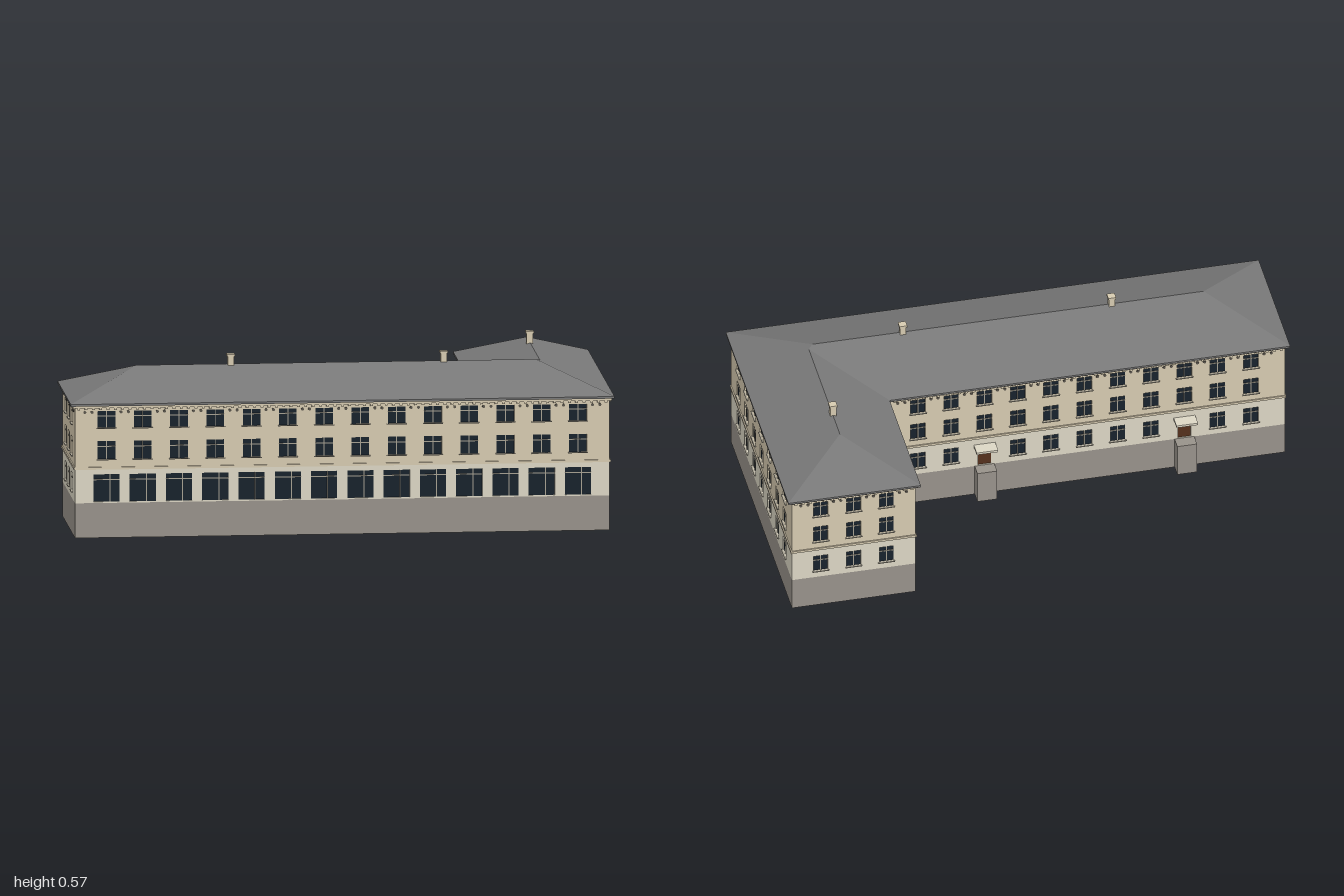
import * as THREE from 'three';
import { mergeGeometries } from 'three/addons/utils/BufferGeometryUtils.js';

const mat = (color) => new THREE.MeshStandardMaterial({ color, side: THREE.DoubleSide });
const STONE = mat(0x98928a), GROUND = mat(0xdcd6c4), PLASTER = mat(0xd6cab0);
const GLASS = mat(0x18222c), FRAME = mat(0xa8a293), ROOF = mat(0x787878), DOOR = mat(0x54301c), VENT = mat(0x5a554c);

const THICK = 0.008;             // wall thickness
const BASE = 0.115, BAND = 0.23, TOP = 0.438;
const RISE = 0.371, EAVE = 0.445; // roof pitch and eave height

const box = (w, h, d, x, y, z) => new THREE.BoxGeometry(w, h, d).translate(x, y, z);

function add(parent, name, geometry, material) {
  const mesh = new THREE.Mesh(Array.isArray(geometry) ? mergeGeometries(geometry) : geometry, material);
  mesh.name = name;
  parent.add(mesh);
  return mesh;
}

// Wall strip with rectangular openings; outer face on z = 0
function panel(length, y0, y1, openings) {
  const h = length / 2;
  const shape = new THREE.Shape([[-h, y0], [h, y0], [h, y1], [-h, y1]].map((p) => new THREE.Vector2(...p)));
  for (const o of openings) {
    const l = o.x - o.w / 2, r = o.x + o.w / 2;
    shape.holes.push(new THREE.Path([[l, o.y0], [l, o.y1], [r, o.y1], [r, o.y0]].map((p) => new THREE.Vector2(...p))));
  }
  return new THREE.ExtrudeGeometry(shape, { depth: THICK, bevelEnabled: false }).translate(0, 0, -THICK);
}

// One complete facade: plinth, two plaster zones, windows, mouldings, vents
function facade(name, { length, count, step, width, shop = false, doors = [] }) {
  const g = new THREE.Group();
  g.name = name;
  const columns = Array.from({ length: count }, (_, i) => (i - (count - 1) / 2) * step);
  const ground = [], upper = [];
  columns.forEach((x, i) => {
    if (doors.includes(i)) ground.push({ x, w: 0.044, y0: BASE + 0.002, y1: 0.19, door: true });
    else if (shop) ground.push({ x, w: 0.086, y0: 0.119, y1: 0.21, shop: true });
    else ground.push({ x, w: width, y0: 0.14, y1: 0.2 });
    upper.push({ x, w: width, y0: 0.26, y1: 0.32 }, { x, w: width, y0: 0.364, y1: 0.419 });
  });
  add(g, 'plinth', box(length, BASE, THICK, 0, BASE / 2, -THICK / 2), STONE);
  add(g, 'groundFloorWall', panel(length, BASE, BAND, ground), GROUND);
  add(g, 'upperWall', panel(length, BAND, TOP, upper), PLASTER);

  const glass = [], frames = [], leaves = [];
  for (const o of [...ground, ...upper]) {
    const h = o.y1 - o.y0, y = (o.y0 + o.y1) / 2;
    (o.door ? leaves : glass).push(box(o.w, h, 0.003, o.x, y, -0.0055));
    if (o.door) continue;
    frames.push(box(0.003, h, 0.003, o.x + (o.shop ? 0.012 : 0), y, -0.003));
    frames.push(box(o.w, 0.003, 0.003, o.x, o.y1 - h * (o.shop ? 0.2 : 0.3), -0.003));
    if (!o.shop) frames.push(box(o.w + 0.008, 0.003, 0.006, o.x, o.y0 - 0.0015, 0.002));
  }
  add(g, 'windowPanes', glass, GLASS);
  add(g, 'windowFrames', frames, FRAME);
  if (leaves.length) add(g, 'doorLeaves', leaves, DOOR);

  // String course, cornice and dentils
  const trim = [box(length + 0.008, 0.008, 0.008, 0, BAND, 0), box(length + 0.014, 0.008, 0.014, 0, 0.434, 0)];
  const dentils = Math.round(length / 0.024);
  for (let i = 0; i < dentils; i++) {
    trim.push(box(0.009, 0.006, 0.006, ((i + 0.5) / dentils - 0.5) * length, 0.427, 0.003));
  }
  add(g, 'mouldings', trim, PLASTER);

  // Round attic vents in pairs between the windows
  const vents = [];
  for (let i = 0; i <= count; i++) {
    for (const side of [-1, 1]) {
      const x = (i - count / 2) * step + side * 0.012;
      vents.push(new THREE.CylinderGeometry(0.005, 0.005, 0.003, 10).rotateX(Math.PI / 2).translate(x, 0.416, 0.001));
    }
  }
  add(g, 'atticVents', vents, VENT);

  // Entrance porches: raised step block and canopy
  for (const i of doors) {
    const x = columns[i];
    add(g, 'entranceBlock', box(0.066, BASE, 0.042, x, BASE / 2, 0.021), STONE);
    add(g, 'entranceCanopy', [box(0.072, 0.008, 0.044, x, 0.198, 0.022), box(0.064, 0.006, 0.036, x, 0.191, 0.018)], GROUND);
  }
  return g;
}

// Hipped roof over the L-shaped plan
function roof() {
  const g = new THREE.Group();
  g.name = 'roof';
  // x, z, distance in from the eave
  const P = {
    A: [0.781, -0.629, 0], B: [0.781, 0.313, 0], C: [-1.003, 0.313, 0],
    D: [-1.003, -0.161, 0], E: [0.338, -0.161, 0], F: [0.338, -0.629, 0],
    mainEnd: [-0.766, 0.076, 0.237], mainCorner: [0.544, 0.076, 0.237],
    wingCorner: [0.5595, 0.0605, 0.2215], wingEnd: [0.5595, -0.4075, 0.2215],
  };
  const slopes = [
    ['C', 'B', 'mainCorner', 'mainEnd'], ['B', 'A', 'wingEnd', 'wingCorner', 'mainCorner'],
    ['A', 'F', 'wingEnd'], ['F', 'E', 'wingCorner', 'wingEnd'],
    ['E', 'D', 'mainEnd', 'mainCorner', 'wingCorner'], ['D', 'C', 'mainEnd'],
  ];
  const verts = [];
  for (const face of slopes) {
    for (let i = 1; i < face.length - 1; i++) {
      for (const k of [face[0], face[i], face[i + 1]]) {
        const [x, z, d] = P[k];
        verts.push(x, EAVE + d * RISE, z);
      }
    }
  }
  const geo = new THREE.BufferGeometry();
  geo.setAttribute('position', new THREE.Float32BufferAttribute(verts, 3));
  geo.computeVertexNormals();
  add(g, 'roofSlopes', geo, ROOF);

  // Thin eave slab
  const outline = new THREE.Shape(['A', 'B', 'C', 'D', 'E', 'F'].map((k) => new THREE.Vector2(P[k][0], P[k][1])));
  const slab = new THREE.ExtrudeGeometry(outline, { depth: 0.007, bevelEnabled: false });
  add(g, 'eaveSlab', slab.rotateX(Math.PI / 2).translate(0, EAVE - 0.0005, 0), ROOF);
  return g;
}

export function createModel() {
  const model = new THREE.Group();
  model.name = 'building';
  const body = new THREE.Group();
  body.name = 'cornerBlock';
  body.rotation.y = 0.9506; // the block stands diagonally on its plot
  model.add(body);

  // Facades: centre x, centre z, quarter turns
  const walls = [
    ['frontFacade', -0.111, 0.298, 0, { length: 1.754, count: 14, step: 0.119, width: 0.058, shop: true }],
    ['mainEndFacade', -0.988, 0.076, -1, { length: 0.444, count: 3, step: 0.112, width: 0.048 }],
    ['wingOuterFacade', 0.766, -0.158, 1, { length: 0.912, count: 7, step: 0.115, width: 0.048 }],
    ['wingEndFacade', 0.5595, -0.614, 2, { length: 0.413, count: 3, step: 0.11, width: 0.048 }],
    ['wingCourtFacade', 0.353, -0.38, -1, { length: 0.468, count: 3, step: 0.115, width: 0.048 }],
    ['mainCourtFacade', -0.3175, -0.146, 2, { length: 1.341, count: 11, step: 0.1115, width: 0.05, doors: [2, 8] }],
  ];
  for (const [name, x, z, turns, options] of walls) {
    const wall = facade(name, options);
    wall.position.set(x, 0, z);
    wall.rotation.y = turns * Math.PI / 2;
    body.add(wall);
  }

  body.add(roof());

  // Chimneys along the ridges
  for (const [x, z] of [[-0.457, 0.076], [0.242, 0.076], [0.558, -0.294]]) {
    add(body, 'chimney', [box(0.02, 0.06, 0.02, x, 0.529, z), box(0.026, 0.007, 0.026, x, 0.5625, z)], PLASTER);
  }
  return model;
}
